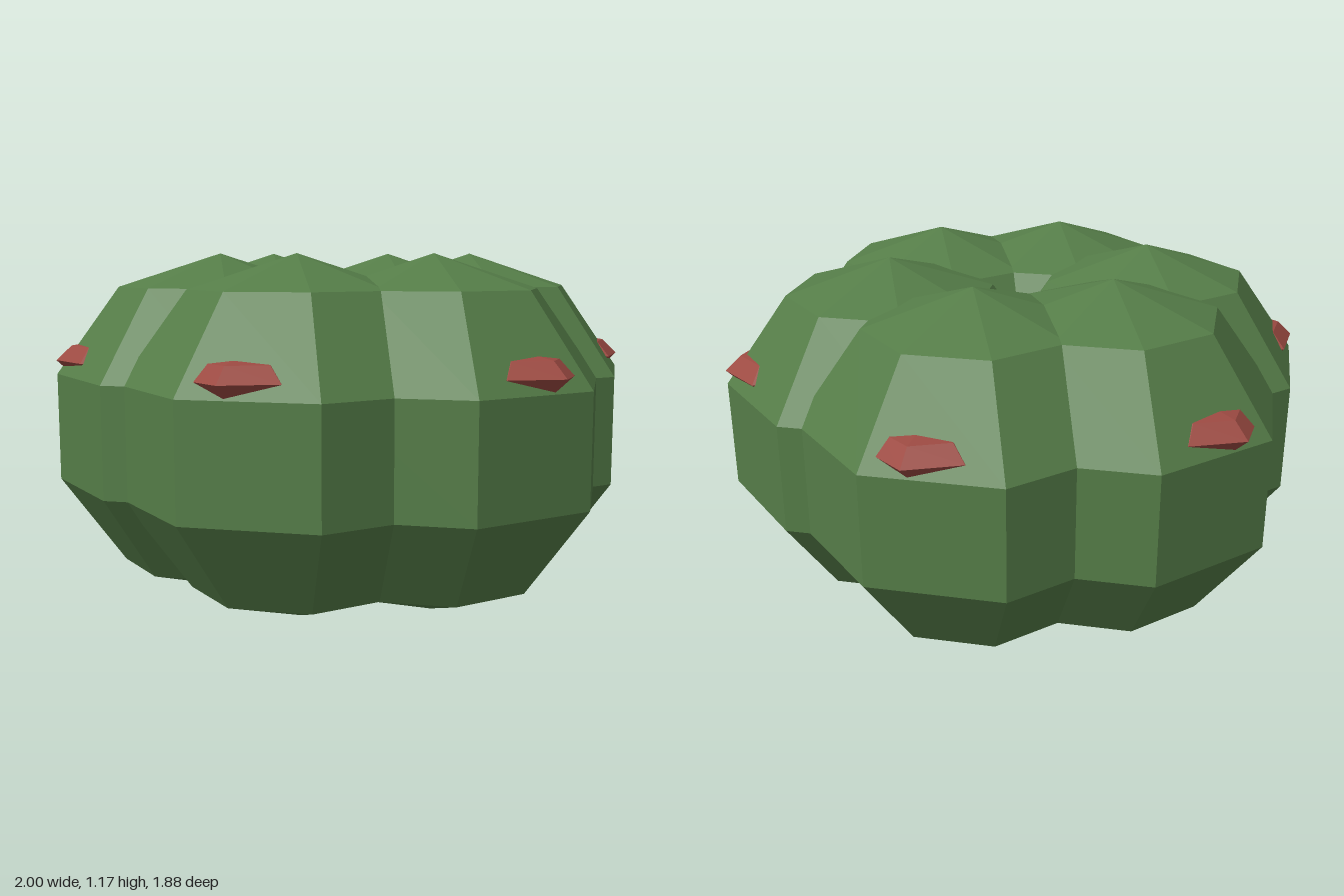
import * as THREE from 'three';

export function createModel() {
  const model = new THREE.Group();
  model.name = 'lobedCactus';
  const green = new THREE.MeshStandardMaterial({ color: 0x557d48, flatShading: true });
  const red = new THREE.MeshStandardMaterial({ color: 0x9c4a42, flatShading: true });

  const R = 0.587; // lobe radius, also the height of the lobe centres
  const lobeGeo = new THREE.SphereGeometry(R, 8, 5);
  // flattened six-sided bud, one corner pointing outwards
  const budGeo = new THREE.SphereGeometry(0.18, 6, 4).scale(1, 0.39, 1);

  // six overlapping lobes in a ring, each with a bud on its outer face
  for (let i = 0; i < 6; i++) {
    const a = (i * Math.PI) / 3;
    const place = (geo, mat, name, radius, y) => {
      const mesh = new THREE.Mesh(geo, mat);
      mesh.name = name;
      mesh.position.set(Math.cos(a) * radius, y, Math.sin(a) * radius);
      model.add(mesh);
    };
    place(lobeGeo, green, 'lobe' + (i + 1), 0.44, R);
    place(budGeo, red, 'bud' + (i + 1), 0.82, 0.815);
  }
  return model;
}
